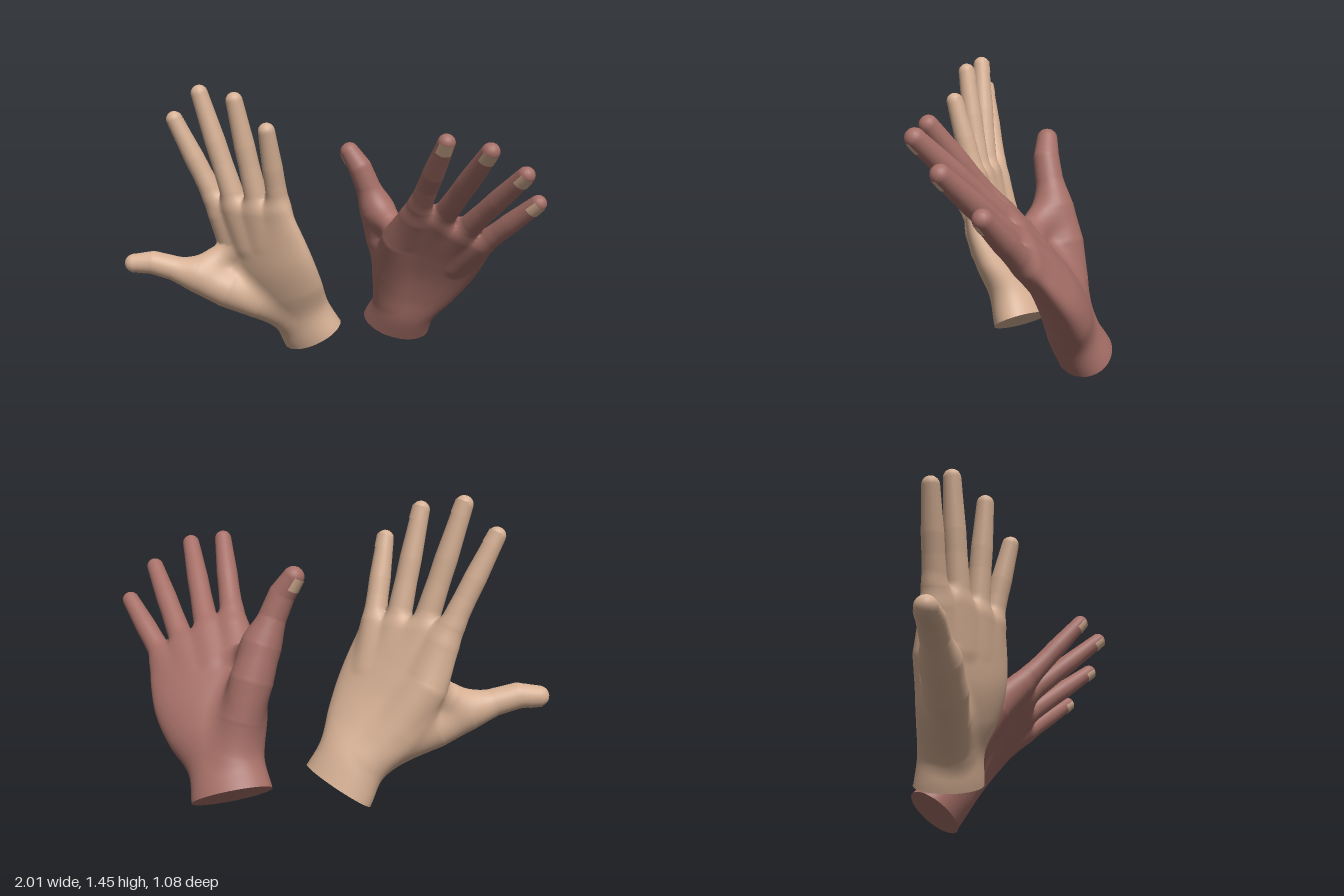
import * as THREE from 'three';

const paleSkin = new THREE.MeshStandardMaterial({ name: 'paleSkin', color: 0xd6b094 });
const darkSkin = new THREE.MeshStandardMaterial({ name: 'darkSkin', color: 0xa56f67 });

// Local hand frame: x from index to little finger, y along the fingers, z out of the palm.
// Palm and wrist: elliptical sections [centreX, centreZ, halfWidth, halfDepth], evenly spaced in y
const PALM_START = -0.15, PALM_END = 0.9;
const PALM = [
  [0, -0.02, 0.2, 0.145], [0, 0, 0.19, 0.136], [0, 0.015, 0.182, 0.124], [0.008, 0.055, 0.236, 0.115],
  [0.015, 0.078, 0.266, 0.104], [0.015, 0.08, 0.274, 0.09], [0.02, 0.075, 0.26, 0.076], [0.03, 0.07, 0.235, 0.06],
];
const palmCentre = new THREE.CatmullRomCurve3(
  PALM.map((s) => new THREE.Vector3(s[0], 0, s[1])), false, 'catmullrom');
const palmSize = new THREE.CatmullRomCurve3(
  PALM.map((s) => new THREE.Vector3(s[2], 0, s[3])), false, 'catmullrom');

// Limbs: chains of balls [x, y, z, radius]
const THUMB = [
  [-0.06, 0.17, 0.06, 0.072], [-0.14, 0.3, 0.14, 0.09], [-0.23, 0.436, 0.211, 0.102],
  [-0.317, 0.556, 0.274, 0.088], [-0.403, 0.656, 0.329, 0.066], [-0.474, 0.728, 0.378, 0.062],
  [-0.55, 0.767, 0.432, 0.05],
];
// Muscle beside the index knuckle, and the skin web from it to the thumb
const THUMB_MUSCLE = [
  [-0.08, 0.2, 0.025, 0.08], [-0.13, 0.37, 0.05, 0.088], [-0.175, 0.6, 0.068, 0.087], [-0.163, 0.8, 0.068, 0.062],
];
const THUMB_WEB = [[-0.17, 0.605, 0.1, 0.068], [-0.25, 0.6, 0.178, 0.066], [-0.31, 0.585, 0.255, 0.06]];

function finger(base, tip, r) {
  const ball = (t, scale) => [...base.map((v, i) => v + (tip[i] - v) * t), r * scale];
  return [ball(-0.55, 0.8), ball(0, 1.04), ball(0.3, 0.94), ball(0.52, 0.93), ball(0.8, 0.82), ball(1, 0.75)];
}
const LIMBS = {
  thumb: THUMB,
  indexFinger: finger([-0.164, 0.91, 0.064], [-0.187, 1.362, 0.057], 0.057),
  middleFinger: finger([-0.027, 0.91, 0.07], [0, 1.436, 0.001], 0.058),
  ringFinger: finger([0.115, 0.87, 0.065], [0.208, 1.345, 0.018], 0.057),
  littleFinger: finger([0.217, 0.775, 0.057], [0.349, 1.158, 0.056], 0.056),
};

const wristPlane = (x, z) => 0.05 * x - 0.17 * z;

// Distance to a chain of tapering round segments
function chainDistance(chain, x, y, z) {
  let best = Infinity;
  for (let i = 1; i < chain.length; i++) {
    const a = chain[i - 1], b = chain[i];
    const dx = b[0] - a[0], dy = b[1] - a[1], dz = b[2] - a[2];
    const px = x - a[0], py = y - a[1], pz = z - a[2];
    const t = Math.min(1, Math.max(0, (px * dx + py * dy + pz * dz) / (dx * dx + dy * dy + dz * dz)));
    const d = Math.hypot(px - t * dx, py - t * dy, pz - t * dz) - a[3] - t * (b[3] - a[3]);
    best = Math.min(best, d);
  }
  return best;
}

// Union of two distances with a soft fillet of width k
function blend(a, b, k) {
  const h = Math.max(k - Math.abs(a - b), 0) / k;
  return Math.min(a, b) - (h * h * k) / 4;
}

const centre = new THREE.Vector3(), size = new THREE.Vector3();
function palmDistance(x, y, z) {
  const t = Math.min(1, Math.max(0, (y - PALM_START) / (PALM_END - PALM_START)));
  palmCentre.getPoint(t, centre);
  palmSize.getPoint(t, size);
  const u = (x - centre.x) / size.x, v = (z - centre.z) / size.z;
  const k0 = Math.hypot(u, v), k1 = Math.hypot(u / size.x, v / size.z);
  const tube = k1 > 1e-6 ? (k0 * (k0 - 1)) / k1 : -size.z;
  const top = (y - 0.865 + 0.3 * x) / 1.044;
  const palm = -blend(-tube, -top, 0.06);
  const fold = Math.min(chainDistance(THUMB_MUSCLE, x, y, z), chainDistance(THUMB_WEB, x, y, z));
  return blend(palm, fold, 0.05);
}

function handDistance(x, y, z) {
  let fingers = Infinity;
  for (const [name, chain] of Object.entries(LIMBS)) {
    if (name !== 'thumb') fingers = blend(fingers, chainDistance(chain, x, y, z), 0.012);
  }
  const palm = blend(palmDistance(x, y, z), chainDistance(THUMB, x, y, z), 0.08);
  return blend(palm, fingers, 0.05);
}

function gradient(p) {
  const e = 0.004;
  return new THREE.Vector3(
    handDistance(p.x + e, p.y, p.z) - handDistance(p.x - e, p.y, p.z),
    handDistance(p.x, p.y + e, p.z) - handDistance(p.x, p.y - e, p.z),
    handDistance(p.x, p.y, p.z + e) - handDistance(p.x, p.y, p.z - e)).divideScalar(2 * e);
}

// Wrap one smooth skin round the blended shape and sort its faces by part
function buildSkin() {
  const cell = 0.014, low = [-0.64, -0.1, -0.2], count = [78, 116, 52];
  const stride = [1, count[0], count[0] * count[1]];
  const total = stride[2] * count[2];
  const coords = (id) => [id % count[0], Math.floor(id / stride[1]) % count[1], Math.floor(id / stride[2])];
  const values = new Float32Array(total);
  for (let id = 0; id < total; id++) {
    values[id] = handDistance(...coords(id).map((c, a) => low[a] + c * cell));
  }

  // One point in every cell the surface crosses, pulled on to the surface
  const vertexOf = new Int32Array(total).fill(-1);
  const positions = [], normals = [], points = [], cut = [];
  for (let id = 0; id < total; id++) {
    const c = coords(id);
    if (c.some((v, a) => v >= count[a] - 1)) continue;
    const p = new THREE.Vector3();
    let crossings = 0;
    for (let axis = 0; axis < 3; axis++) {
      const u = (axis + 1) % 3, v = (axis + 2) % 3;
      for (let corner = 0; corner < 4; corner++) {
        const du = corner & 1, dv = corner >> 1;
        const from = id + du * stride[u] + dv * stride[v];
        const f = values[from], g = values[from + stride[axis]];
        if (f < 0 === g < 0) continue;
        const q = [...c];
        q[u] += du;
        q[v] += dv;
        q[axis] += f / (f - g);
        p.add(new THREE.Vector3(...q));
        crossings++;
      }
    }
    if (!crossings) continue;
    p.multiplyScalar(cell / crossings).add(new THREE.Vector3(...low));
    const g = gradient(p);
    p.addScaledVector(g, -handDistance(p.x, p.y, p.z) / Math.max(g.lengthSq(), 0.3));
    const n = gradient(p).normalize();
    const floor = wristPlane(p.x, p.z);
    cut.push(p.y < floor);
    p.y = Math.max(p.y, floor);
    vertexOf[id] = points.length;
    points.push(p);
    positions.push(p.x, p.y, p.z);
    normals.push(n.x, n.y, n.z);
  }

  const faces = { palm: [] };
  for (const name of Object.keys(LIMBS)) faces[name] = [];
  for (let id = 0; id < total; id++) {
    const c = coords(id);
    for (let axis = 0; axis < 3; axis++) {
      const u = (axis + 1) % 3, v = (axis + 2) % 3;
      if (!c[u] || !c[v] || c[axis] >= count[axis] - 1) continue;
      const inside = values[id] < 0;
      if (inside === values[id + stride[axis]] < 0) continue;
      const q = [id - stride[u] - stride[v], id - stride[v], id, id - stride[u]].map((k) => vertexOf[k]);
      if (q.some((k) => k < 0) || q.every((k) => cut[k])) continue;
      if (!inside) q.reverse();
      const { x, y, z } = points[q[0]];
      let part = 'palm', nearest = palmDistance(x, y, z);
      for (const [name, chain] of Object.entries(LIMBS)) {
        const d = chainDistance(chain, x, y, z);
        if (d < nearest) [part, nearest] = [name, d];
      }
      faces[part].push(q[0], q[1], q[2], q[0], q[2], q[3]);
    }
  }
  return Object.entries(faces).map(([name, index]) => {
    const geometry = new THREE.BufferGeometry();
    geometry.setAttribute('position', new THREE.Float32BufferAttribute(positions, 3));
    geometry.setAttribute('normal', new THREE.Float32BufferAttribute(normals, 3));
    geometry.setIndex(index);
    return { name, geometry: geometry.toNonIndexed() };
  });
}

// Thin curved plate on the back of a fingertip
function buildNail(chain, side, angle) {
  const [a, b] = chain.slice(-2);
  const tip = new THREE.Vector3(...b.slice(0, 3));
  const along = tip.clone().sub(new THREE.Vector3(...a.slice(0, 3)));
  const back = 0.048, front = 0.016;
  const rBack = b[3] + ((a[3] - b[3]) * back) / along.length() + 0.003;
  along.normalize();
  const s = side.clone().addScaledVector(along, -side.dot(along)).normalize();
  const n = new THREE.Vector3().crossVectors(s, along);
  return new THREE.CylinderGeometry(b[3] + 0.001, rBack, back + front, 12, 1, true, angle - 0.9, 1.8)
    .translate(0, (front - back) / 2, 0)
    .applyMatrix4(new THREE.Matrix4().makeBasis(s, along, n).setPosition(tip))
    .toNonIndexed();
}

function buildWristCut() {
  const disc = new THREE.CircleGeometry(1, 48).rotateX(Math.PI / 2).scale(PALM[1][2], 1, PALM[1][3]);
  const p = disc.attributes.position;
  for (let i = 0; i < p.count; i++) p.setY(i, wristPlane(p.getX(i), p.getZ(i)));
  disc.computeVertexNormals();
  return disc.toNonIndexed();
}

// Place a hand by its wrist and three axes; a left-handed frame gives the mirrored hand
function placeHand(name, skin, parts, wrist, x, y, z) {
  const matrix = new THREE.Matrix4()
    .makeBasis(new THREE.Vector3(...x), new THREE.Vector3(...y), new THREE.Vector3(...z)).setPosition(...wrist);
  const hand = new THREE.Group();
  hand.name = name;
  for (const part of parts) {
    const geometry = part.geometry.clone().applyMatrix4(matrix);
    if (matrix.determinant() < 0) {
      geometry.setIndex(Array.from({ length: geometry.attributes.position.count }, (_, i) => i).reverse());
    }
    const mesh = new THREE.Mesh(geometry, part.name.endsWith('Nail') ? paleSkin : skin);
    mesh.name = part.name;
    hand.add(mesh);
  }
  return hand;
}

export function createModel() {
  const parts = [...buildSkin(), { name: 'wristCut', geometry: buildWristCut() }];
  for (const [name, chain] of Object.entries(LIMBS)) {
    const thumb = name === 'thumb';
    const side = thumb ? new THREE.Vector3(0.19, 0.64, -0.75) : new THREE.Vector3(1, 0, 0);
    parts.push({ name: name + 'Nail', geometry: buildNail(chain, side, thumb ? -2.5 : Math.PI) });
  }
  const model = new THREE.Group();
  model.name = 'pairOfHands';
  model.add(
    placeHand('paleHand', paleSkin, parts, [-0.01, 0.09, -0.335],
      [0.643, 0.297, 0.706], [-0.4, 0.916, -0.02], [-0.653, -0.27, 0.708]),
    placeHand('darkHand', darkSkin, parts, [0.495, 0.092, -0.415],
      [0.94, -0.285, 0.189], [0.105, 0.765, 0.636], [0.326, 0.578, -0.749]),
  );
  return model;
}
